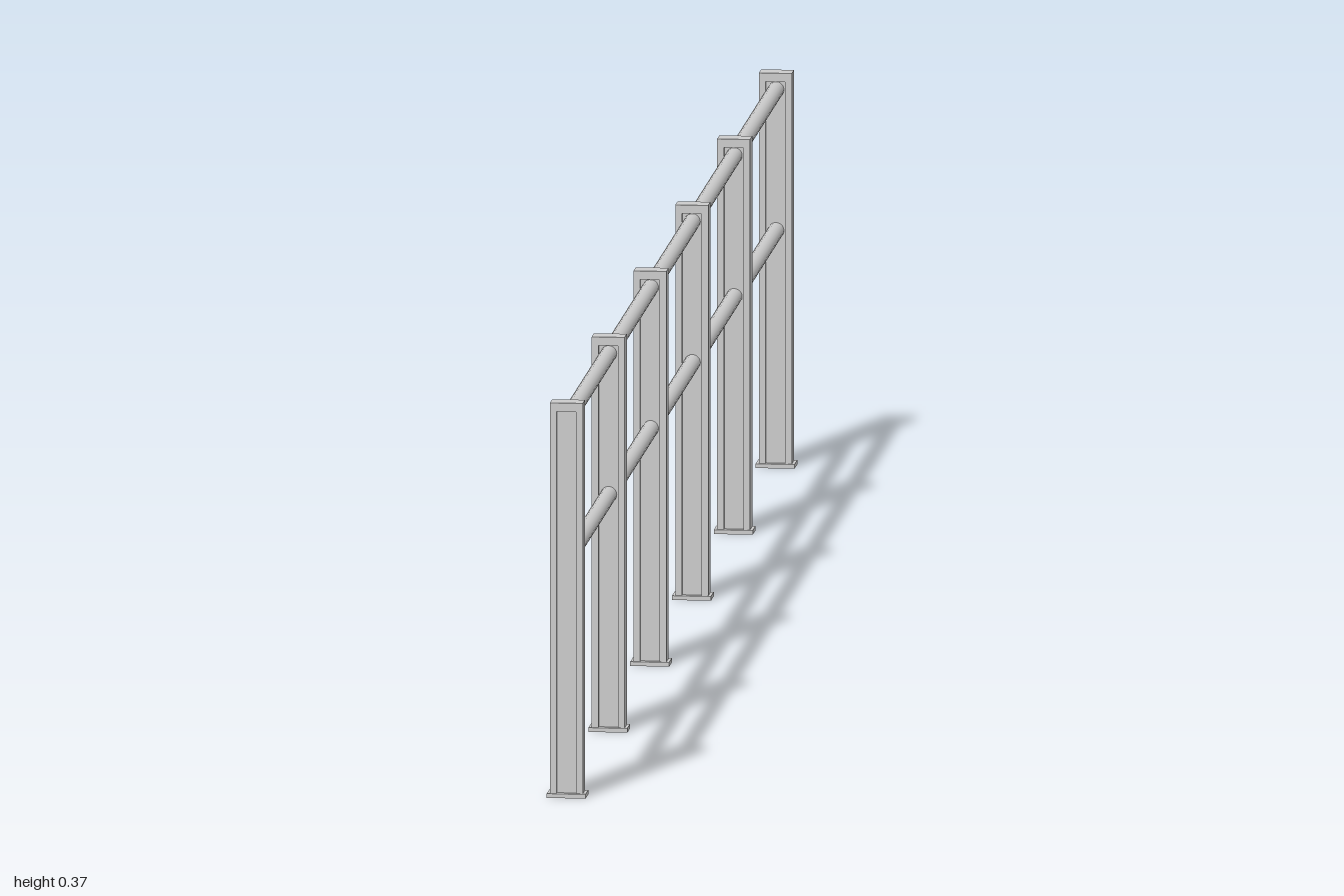
import * as THREE from 'three';

const HEIGHT = 0.367, CAP = 0.008, PLATE = 0.004;
const HALF_W = 0.0152, HALF_D = 0.0105, GROOVE = 0.009, WEB = 0.006;
const END = 0.987, COUNT = 6;

const material = new THREE.MeshStandardMaterial({ color: 0xcccccc });

function rectPoints(w, d) {
  return [[-w, -d], [w, -d], [w, d], [-w, d]].map(([x, y]) => new THREE.Vector2(x, y));
}

// Extrudes a floor-plan shape upward from y0 to y1
function extrudeUp(shape, y0, y1) {
  const geo = new THREE.ExtrudeGeometry(shape, { depth: y1 - y0, bevelEnabled: false });
  geo.rotateX(-Math.PI / 2);
  geo.translate(0, y0, 0);
  return geo;
}

function add(parent, geo, name) {
  const mesh = new THREE.Mesh(geo, material);
  mesh.name = name;
  parent.add(mesh);
  return mesh;
}

export function createModel() {
  const root = new THREE.Group();
  root.name = 'railing';

  // Hollow upright with a recessed channel on its front and back faces
  const profile = new THREE.Shape([
    [-HALF_W, -HALF_D], [-GROOVE, -HALF_D], [-GROOVE, -WEB], [GROOVE, -WEB],
    [GROOVE, -HALF_D], [HALF_W, -HALF_D], [HALF_W, HALF_D], [GROOVE, HALF_D],
    [GROOVE, WEB], [-GROOVE, WEB], [-GROOVE, HALF_D], [-HALF_W, HALF_D],
  ].map(([x, y]) => new THREE.Vector2(x, y)));
  profile.holes.push(new THREE.Path(rectPoints(0.0115, 0.0045).reverse()));
  const uprightGeo = extrudeUp(profile, 0, HEIGHT - CAP);

  // Solid cap closing the top of the channels
  const capGeo = new THREE.BoxGeometry(HALF_W * 2, CAP, HALF_D * 2);
  capGeo.translate(0, HEIGHT - CAP / 2, 0);

  // Base plate open in the middle
  const plate = new THREE.Shape(rectPoints(0.018, 0.013));
  plate.holes.push(new THREE.Path(rectPoints(0.0115, 0.0045).reverse()));
  const plateGeo = extrudeUp(plate, 0, PLATE);

  for (let i = 0; i < COUNT; i++) {
    const post = new THREE.Group();
    post.name = 'post' + (i + 1);
    post.position.z = END - (2 * END * i) / (COUNT - 1);
    add(post, uprightGeo, 'upright');
    add(post, capGeo, 'postCap');
    add(post, plateGeo, 'basePlate');
    root.add(post);
  }

  // Two round rails running through all the posts
  const railGeo = new THREE.CylinderGeometry(0.0075, 0.0075, END * 2, 20);
  railGeo.rotateX(Math.PI / 2);
  add(root, railGeo, 'topRail').position.y = 0.351;
  add(root, railGeo, 'middleRail').position.y = 0.22;

  return root;
}
